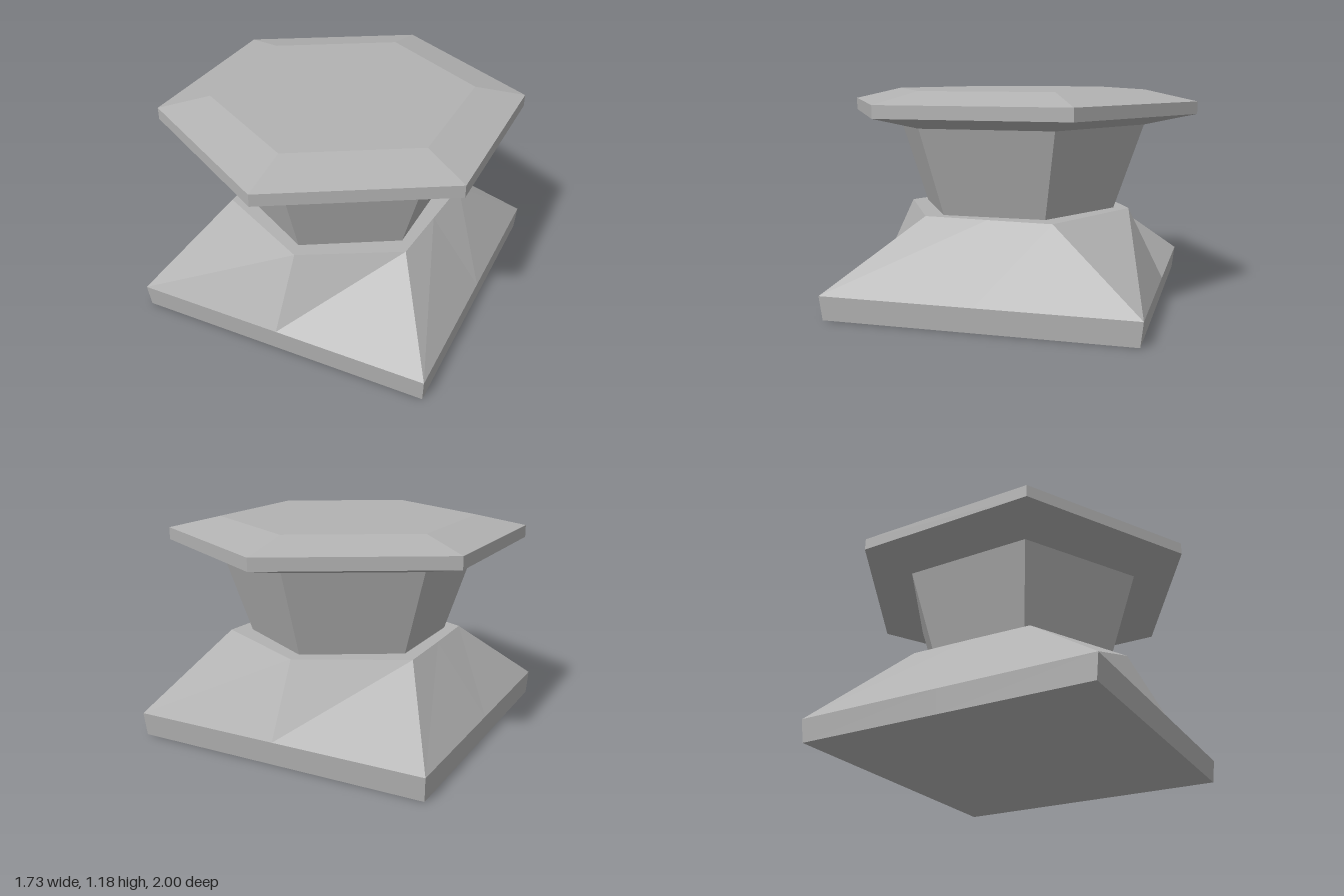
import * as THREE from 'three';

// Flat facets: unshare the corners, then take one normal per face
function faceted(geometry) {
  const g = geometry.index ? geometry.toNonIndexed() : geometry;
  g.computeVertexNormals();
  return g;
}

// Six-sided turned part with a corner on the z axis; profile is [radius, height]
function hexTurned(profile) {
  return faceted(new THREE.LatheGeometry(profile.map(([r, y]) => new THREE.Vector2(r, y)), 6));
}

// Skin over rings of [x, z] points, closed at both ends
function loft(rings) {
  const pos = [];
  const tri = (...pts) => pts.forEach((p) => pos.push(...p));
  const pts = rings.map(({ y, ring }) => ring.map(([x, z]) => [x, y, z]));
  const n = pts[0].length;
  const last = pts[pts.length - 1];
  const bottomCentre = [0, rings[0].y, 0];
  const topCentre = [0, rings[rings.length - 1].y, 0];
  for (let j = 0; j < n; j++) {
    const k = (j + 1) % n;
    tri(bottomCentre, pts[0][k], pts[0][j]);
    for (let i = 0; i < pts.length - 1; i++) {
      tri(pts[i][j], pts[i][k], pts[i + 1][k]);
      tri(pts[i][j], pts[i + 1][k], pts[i + 1][j]);
    }
    tri(topCentre, last[j], last[k]);
  }
  const g = new THREE.BufferGeometry();
  g.setAttribute('position', new THREE.Float32BufferAttribute(pos, 3));
  return faceted(g);
}

// Rectangle with side midpoints, starting at the front and turning towards +x
const rectangle = (x, z) => [[0, z], [x, z], [x, 0], [x, -z], [0, -z], [-x, -z], [-x, 0], [-x, z]];

export function createModel() {
  const model = new THREE.Group();
  const stone = new THREE.MeshStandardMaterial({ color: 0xb2b2b2 });
  stone.name = 'grey stone';

  const add = (name, geometry) => {
    const mesh = new THREE.Mesh(geometry, stone);
    mesh.name = name;
    model.add(mesh);
  };

  // Square foot rising to a slightly uneven hexagon
  const shoulder = [
    [0.02, 0.64], [0.535, 0.36], [0.56, 0.01], [0.585, -0.34],
    [0, -0.64], [-0.56, -0.355], [-0.555, 0], [-0.545, 0.345],
  ];
  add('base', loft([
    { y: 0, ring: rectangle(0.835, 0.82) },
    { y: 0.13, ring: rectangle(0.843, 0.835) },
    { y: 0.518, ring: shoulder },
  ]));

  // Tapered neck
  add('neck', hexTurned([[0.555, 0.518], [0.716, 0.986]]));

  // Wide bevelled slab
  add('cap', hexTurned([[0, 0.986], [0.716, 0.986], [1, 1.048], [1, 1.115], [0.716, 1.177], [0, 1.177]]));

  return model;
}
